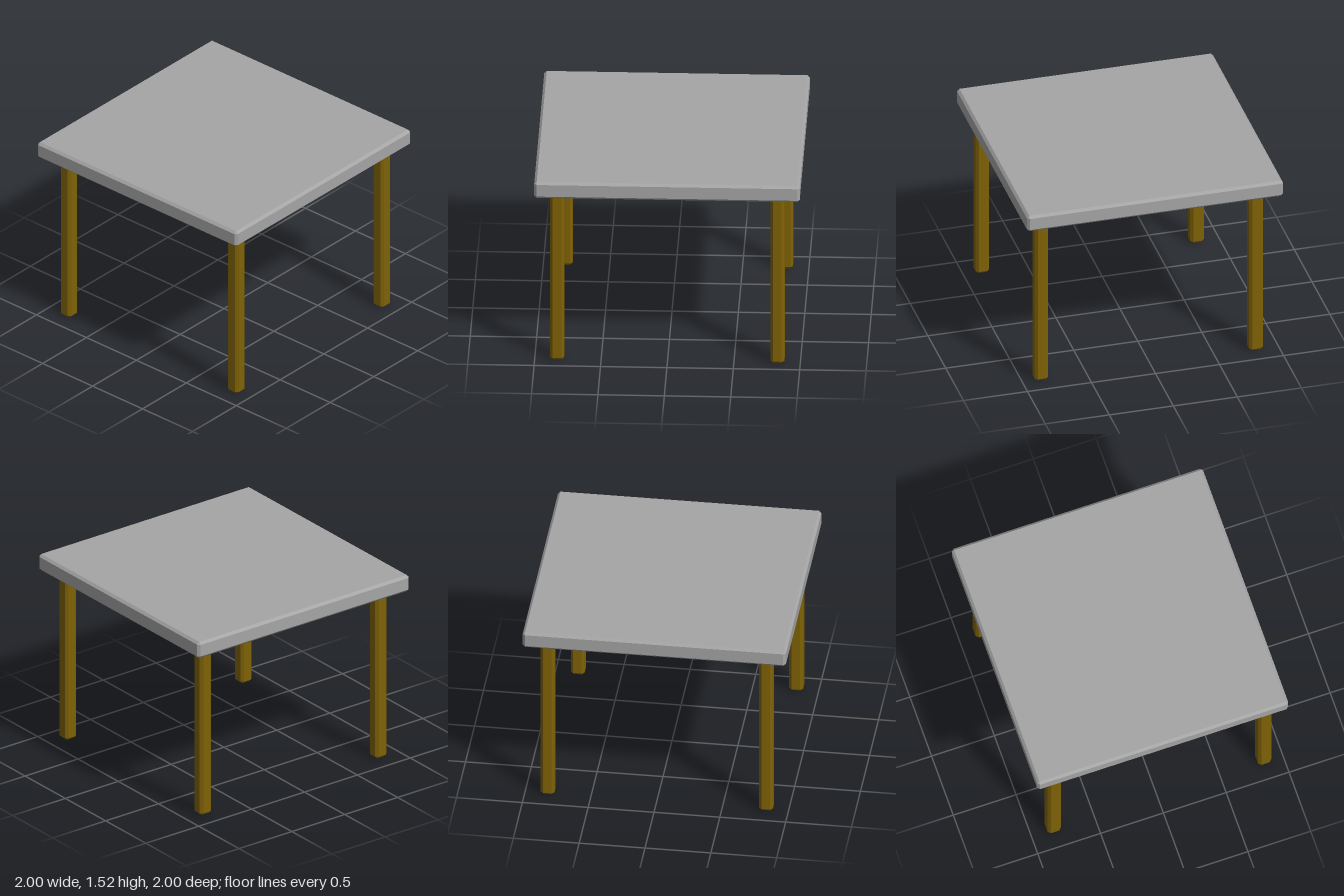
import * as THREE from 'three';
import { ConvexGeometry } from 'three/addons/geometries/ConvexGeometry.js';

// Box with a flat chamfer of width c on every edge and corner
function chamferBox(w, h, d, c) {
  const points = [];
  for (const sx of [-1, 1]) for (const sy of [-1, 1]) for (const sz of [-1, 1]) {
    const x = w / 2, y = h / 2, z = d / 2;
    points.push(
      new THREE.Vector3(sx * x, sy * (y - c), sz * (z - c)),
      new THREE.Vector3(sx * (x - c), sy * y, sz * (z - c)),
      new THREE.Vector3(sx * (x - c), sy * (y - c), sz * z)
    );
  }
  return new ConvexGeometry(points);
}

export function createModel() {
  const model = new THREE.Group();
  model.name = 'table';

  const greyTop = new THREE.MeshStandardMaterial({ color: 0xa5a5a5 });
  greyTop.name = 'grey top';
  const brownWood = new THREE.MeshStandardMaterial({ color: 0x7f6205 });
  brownWood.name = 'brown wood';

  // Square slab
  const top = new THREE.Mesh(chamferBox(2, 0.134, 2, 0.019), greyTop);
  top.name = 'tableTop';
  top.position.y = 1.452;
  model.add(top);

  // Four legs, stopping just short of the slab
  const legGeometry = chamferBox(0.106, 1.372, 0.106, 0.02);
  for (const [zName, z] of [['front', 0.853], ['back', -0.823]]) {
    for (const [xName, x] of [['Left', 0.828], ['Right', -0.831]]) {
      const leg = new THREE.Mesh(legGeometry, brownWood);
      leg.name = `${zName}${xName}Leg`;
      leg.position.set(x, 0.686, z);
      model.add(leg);
    }
  }
  return model;
}
